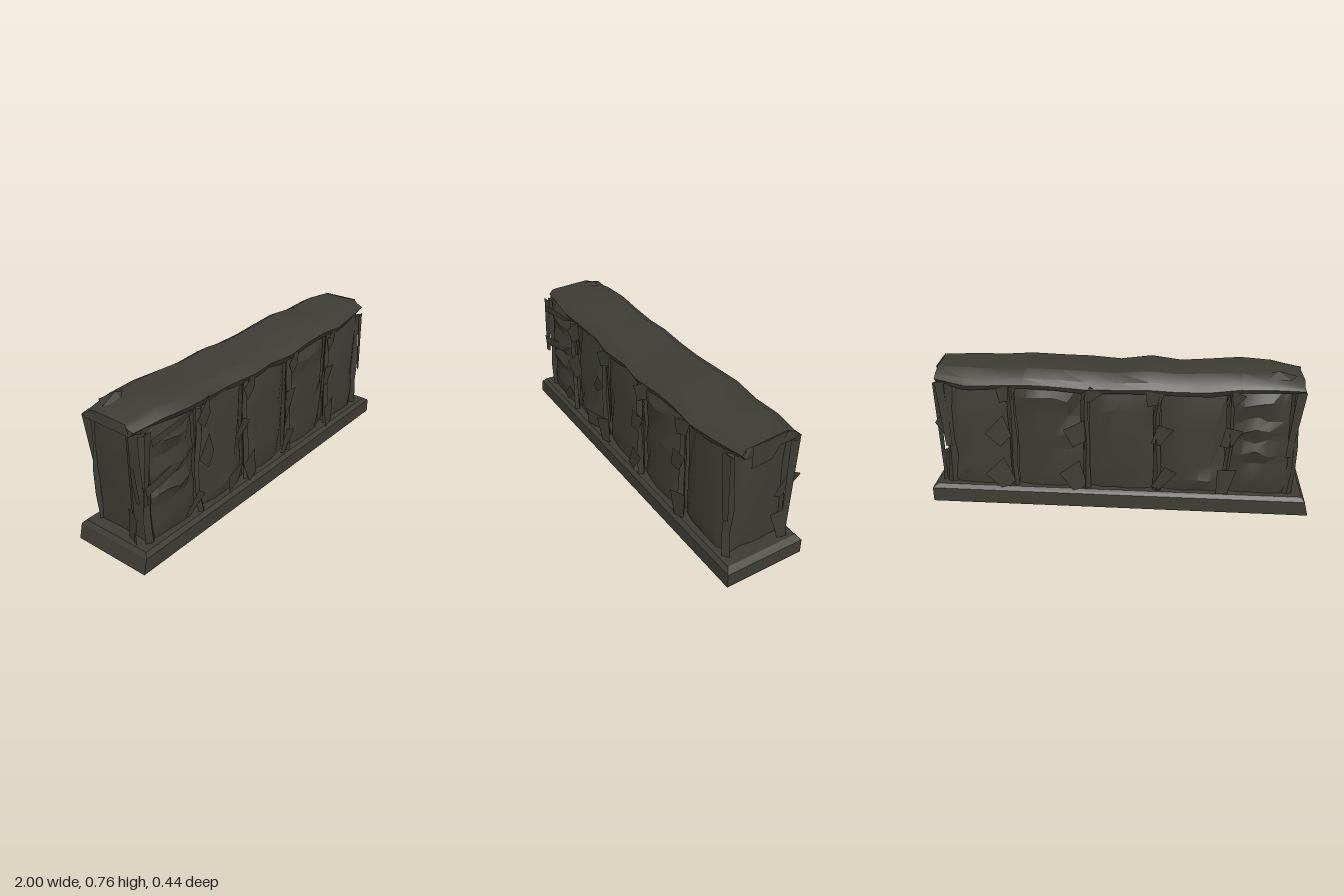
import * as THREE from 'three';
import { toCreasedNormals } from 'three/addons/utils/BufferGeometryUtils.js';

// repeatable noise in -1..1 from three numbers
const noise = (a, b, c) => {
  const s = Math.sin(a * 127.1 + b * 311.7 + c * 74.7 + 3.3) * 43758.5453;
  return (s - Math.floor(s)) * 2 - 1;
};

export function createModel() {
  const model = new THREE.Group();
  const stone = new THREE.MeshStandardMaterial({ color: 0x3d3c34, side: THREE.DoubleSide });
  stone.name = 'darkStone';

  const add = (name, geometry, crease) => {
    const mesh = new THREE.Mesh(toCreasedNormals(geometry, crease), stone);
    mesh.name = name;
    model.add(mesh);
  };

  const moveVertices = (geometry, rule) => {
    const p = geometry.attributes.position;
    for (let i = 0; i < p.count; i++) p.setXYZ(i, ...rule(p.getX(i), p.getY(i), p.getZ(i)));
    return geometry;
  };

  // plinth with sloping, worn upper edges
  add('plinth', moveVertices(new THREE.BoxGeometry(2, 2, 2, 1, 2, 1), (u, v, w) => {
    const x = v > 0.5 ? (u < 0 ? -0.962 : 0.97) : v > -0.5 && u < 0 ? -0.98 : u;
    const y = v > 0.5 ? 0.098 : v > -0.5 ? 0.078 : 0;
    return [x, y, w * (v > 0.5 ? 0.2 : 0.219)];
  }), 0.2);

  // five bulging bays: left edge, right edge, heights of the horizontal creases
  const bays = [
    [-0.9, -0.575, [0.27, 0.4, 0.52]],
    [-0.555, -0.215, [0.24]],
    [-0.195, 0.155, [0.4]],
    [0.185, 0.535, [0.32, 0.51]],
    [0.56, 0.895, [0.29]],
  ];
  bays.forEach(([x0, x1, creases], b) => {
    // rows alternate between pinched creases and full swells
    const levels = [0.09, ...creases, 0.69];
    const rows = levels.flatMap((y, i) => (i ? [(y + levels[i - 1]) / 2, y] : [y]));
    const n = rows.length - 1;
    add('bay' + (b + 1), moveVertices(new THREE.BoxGeometry(2, n, 2, 5, n, 4), (u, v, w) => {
      const i = Math.round(v + n / 2);
      const inner = i > 0 && i < n ? 1 : 0;
      const depth = i % 2 ? 0.186 : i === n ? 0.15 : 0.168;
      const half = 0.148 + (depth - 0.148) * (1 - u ** 4);
      const outer = (b === 0 && u < -0.99) || (b === 4 && u > 0.99);
      const swell = outer ? inner * 0.012 * (1 - w * w) * u : 0;
      return [
        (x0 + x1) / 2 + u * (x1 - x0) / 2 + swell + noise(u, i, w) * 0.006,
        rows[i] + inner * noise(u * 2, b + i, w) * 0.014,
        w * half + noise(u, i + b, w * 3) * 0.006,
      ];
    }), 0.45);
  });

  // recessed core closing the gaps between bays
  add('core', new THREE.BoxGeometry(1.72, 0.58, 0.24).translate(0, 0.39, 0), 0.1);

  // thin rough pilasters on the front, back and corners
  const pilaster = (x, z, width, seed) => {
    add('pilaster', moveVertices(new THREE.CylinderGeometry(0.5, 0.5, 1, 4, 4), (u, v, w) => {
      const flare = 1 + 0.6 * Math.max(0, Math.abs(v) - 0.25);
      const lean = noise(seed, v * 4, 2) * 0.009;
      return [
        x + u * width * flare + lean + noise(u, v, seed) * 0.004,
        0.38 + v * 0.58,
        z + w * 0.035 + noise(w, v, seed) * 0.007,
      ];
    }), 0.15);
  };
  // flat broken flake, tapering to one corner
  const flake = (x, y, z, width, height, tilt, turn) => {
    const g = new THREE.PlaneGeometry(width, height);
    moveVertices(g, (u, v) => [u > 0 && v < 0 ? u * 0.2 : u, v, u < 0 ? 0.008 : 0]);
    add('flake', g.rotateZ(tilt).rotateY(turn).translate(x, y, z), 0.1);
  };

  const joints = [-0.565, -0.205, 0.17, 0.548];
  for (const side of [1, -1]) {
    const turn = side > 0 ? 0 : Math.PI;
    joints.forEach((x, i) => {
      pilaster(x, side * 0.177, 0.036, i + side * 6 + 10);
      // flakes high, halfway and low beside each joint
      [0.63, 0.42, 0.17].forEach((y, k) => {
        const r = noise(i, k, side);
        flake(x + r * 0.06, y, side * (0.186 + 0.005 * k), 0.1 + 0.04 * r, 0.08 + 0.03 * k, r * 0.8, turn + r * 0.12);
      });
    });
    for (const end of [-1, 1]) {
      pilaster(end * 0.89, side * 0.158, 0.05, end * 3 + side + 20);
      flake(end * 0.9, 0.5, side * 0.178, 0.05, 0.36, end * 0.08, turn);
    }
  }

  // long creased flakes on the left bay, and a dark chip low on the second
  flake(-0.76, 0.43, 0.184, 0.34, 0.05, 0.18, 0);
  flake(-0.72, 0.64, 0.18, 0.3, 0.04, 0.1, 0);
  flake(-0.3, 0.165, 0.192, 0.15, 0.09, 0.1, 0.1);

  // upright splinters standing free of the ends
  for (const end of [-1, 1]) {
    const z = end < 0 ? 0.11 : -0.15;
    flake(end * 0.945, 0.38, z, 0.04, 0.575, 0, 0.9);
    flake(end * 0.94, 0.18, z + 0.02 * end, 0.08, 0.17, 0.3, 1.2);
    flake(end * 0.925, 0.4, z, 0.06, 0.16, -0.4, 1.1);
  }

  // uneven capstone: one cross-section per height along the top
  const tops = [0.715, 0.744, 0.748, 0.741, 0.732, 0.742, 0.727, 0.732, 0.738, 0.743, 0.73, 0.738, 0.732];
  const n = tops.length - 1;
  // outline as [z, share of the height], from front bottom over to back bottom
  const outline = [[0.16, 0], [0.182, 0.45], [0.15, 0.8], [0.12, 0.98], [-0.115, 1.04], [-0.175, 0.65], [-0.196, 0.3], [-0.182, 0]];
  const points = [], index = [];
  tops.forEach((top, i) => {
    const x = -0.935 + 1.88 * i / n;
    const low = 0.655 + noise(i, 2, 5) * 0.018;
    const narrow = i === 0 || i === n ? 0.86 : 1;
    outline.forEach(([z, share], k) => {
      const lip = z > 0 ? noise(i, 7, 1) * 0.018 : noise(i, 3, 4) * 0.006;
      points.push(x + noise(i, k, 9) * 0.008, low + (top - low) * share, z * narrow + lip);
    });
  });
  const m = outline.length;
  for (let i = 0; i < n; i++) {
    for (let k = 0; k < m; k++) {
      const a = i * m + k, b = i * m + (k + 1) % m;
      index.push(a, a + m, b, b, a + m, b + m);
    }
  }
  for (let k = 1; k < m - 1; k++) index.push(0, k, k + 1, n * m, n * m + k + 1, n * m + k);
  const capstone = new THREE.BufferGeometry();
  capstone.setAttribute('position', new THREE.Float32BufferAttribute(points, 3));
  capstone.setIndex(index);
  add('capstone', capstone, 0.5);

  // raised peak on the left of the capstone and a lip over its right end
  add('peak', new THREE.ConeGeometry(0.1, 0.03, 5).scale(1, 1, 0.6).translate(-0.8, 0.744, -0.1), 0.1);
  flake(0.948, 0.675, 0, 0.2, 0.12, 0, Math.PI / 2);

  return model;
}
